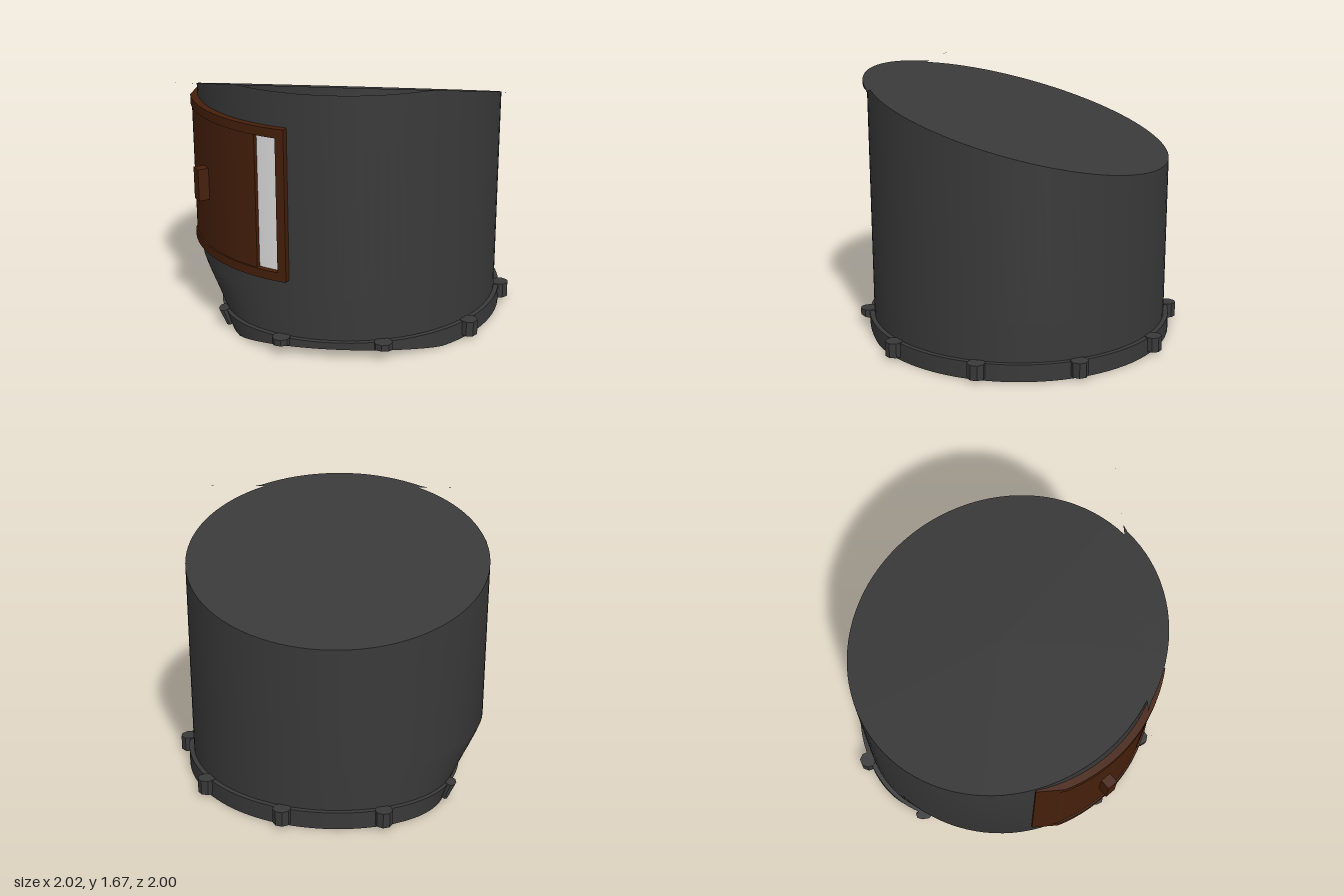
import * as THREE from 'three';
import { toCreasedNormals } from 'three/addons/utils/BufferGeometryUtils.js';

const R = 0.955;
const roofY = (z) => 1.406 + 0.269 * z;

// Moves every vertex by a rule, then rebuilds normals with sharp edges kept.
function deform(geo, rule) {
  const p = geo.attributes.position;
  const v = new THREE.Vector3();
  for (let i = 0; i < p.count; i++) {
    v.fromBufferAttribute(p, i);
    rule(v);
    p.setXYZ(i, v.x, v.y, v.z);
  }
  return toCreasedNormals(geo, 0.5);
}

// Undercut on the -x side below y = 0.36.
function undercut(v) {
  if (v.x < 0 && v.y < 0.36) {
    v.x += 0.2 * Math.pow(v.x, 4) * Math.pow((0.36 - v.y) / 0.26, 1.2);
  }
}

// Base parts: undercut plus a bottom that rises towards the front.
function baseRule(v) {
  undercut(v);
  v.y += Math.max(0, (v.z - 0.75) * 0.28) * Math.max(0, 1 - v.y / 0.11);
}

// Curved slab on the wall; angles in degrees from the front towards -x.
function curvedSlab(r0, r1, y0, y1, from, to) {
  const a0 = THREE.MathUtils.degToRad(270 - to);
  const a1 = THREE.MathUtils.degToRad(270 - from);
  const shape = new THREE.Shape();
  shape.absarc(0, 0, r1, a0, a1, false);
  shape.absarc(0, 0, r0, a1, a0, true);
  const geo = new THREE.ExtrudeGeometry(shape, { depth: y1 - y0, bevelEnabled: false, curveSegments: 24 });
  geo.rotateX(-Math.PI / 2).translate(0, y0, 0);
  return deform(geo, (v) => { v.x = Math.max(v.x, -R - 0.001); });
}

export function createModel() {
  const model = new THREE.Group();
  model.name = 'slantedDrum';
  model.position.x = -0.045;
  const root = new THREE.Group();
  root.add(model);

  const mat = (name, color) => {
    const m = new THREE.MeshStandardMaterial({ color });
    m.name = name;
    return m;
  };
  const darkGrey = mat('darkGrey', 0x393939);
  const brown = mat('brown', 0x451f0a);
  const white = mat('white', 0xdcdcdc);

  const add = (name, geo, material, parent = model) => {
    const mesh = new THREE.Mesh(geo, material);
    mesh.name = name;
    parent.add(mesh);
    return mesh;
  };
  const pts = (list) => list.map(([x, y]) => new THREE.Vector2(x, y));

  // Drum wall with the sloping roof
  const wall = [];
  for (let i = 0; i <= 8; i++) wall.push([R, 0.05 + (0.31 * i) / 8]);
  wall.push([R, 2], [R, 2], [0, 2]);
  add('drum', deform(new THREE.LatheGeometry(pts(wall), 96), (v) => {
    if (v.y > 1.9) v.y = roofY(v.z);
    undercut(v);
  }), darkGrey);

  // Thin lip under the high front edge of the roof
  add('roofLip', deform(new THREE.CylinderGeometry(0.98, 0.98, 1, 96), (v) => {
    v.z = Math.max(v.z, 0.796);
    v.y = v.y > 0 ? roofY(v.z) : 1.62;
  }), darkGrey);

  // Base ring with closed underside
  const ring = [[0, 0], [0.3, 0], [0.6, 0], [0.75, 0], [0.82, 0], [0.9, 0], [0.985, 0], [0.985, 0.11], [0.94, 0.11]];
  add('baseRing', deform(new THREE.LatheGeometry(pts(ring), 96), baseRule), darkGrey);

  // Ten studs around the base
  const studs = new THREE.Group();
  studs.name = 'baseStuds';
  model.add(studs);
  for (let i = 0; i < 10; i++) {
    const a = (i * Math.PI) / 5;
    const geo = new THREE.CylinderGeometry(0.056, 0.056, 0.095, 8);
    geo.rotateY(Math.PI / 8).translate(0.993, 0.0675, 0).rotateY(a);
    add('stud', deform(geo, baseRule), darkGrey, studs);
  }

  // Door frame: two rails and two posts
  const frame = new THREE.Group();
  frame.name = 'doorFrame';
  model.add(frame);
  add('topRail', curvedSlab(0.94, 1.0, 1.355, 1.41, 15.4, 83), brown, frame);
  add('bottomRail', curvedSlab(0.94, 1.0, 0.475, 0.53, 15.4, 83), brown, frame);
  add('frontPost', curvedSlab(0.94, 1.0, 0.53, 1.355, 15.4, 18.5), brown, frame);
  add('rearPost', curvedSlab(0.94, 1.0, 0.53, 1.355, 80, 83), brown, frame);

  // Sliding door, pale opening and handle
  add('opening', curvedSlab(0.95, 0.965, 0.53, 1.355, 18.5, 29), white);
  add('slidingDoor', curvedSlab(0.945, 0.99, 0.53, 1.355, 27, 80), brown);
  const handle = add('doorHandle', new THREE.BoxGeometry(0.07, 0.2, 0.09), brown);
  const h = THREE.MathUtils.degToRad(54.6);
  handle.position.set(-Math.sin(h) * 1.012, 0.94, Math.cos(h) * 1.012);
  handle.rotation.y = -h;

  return root;
}
